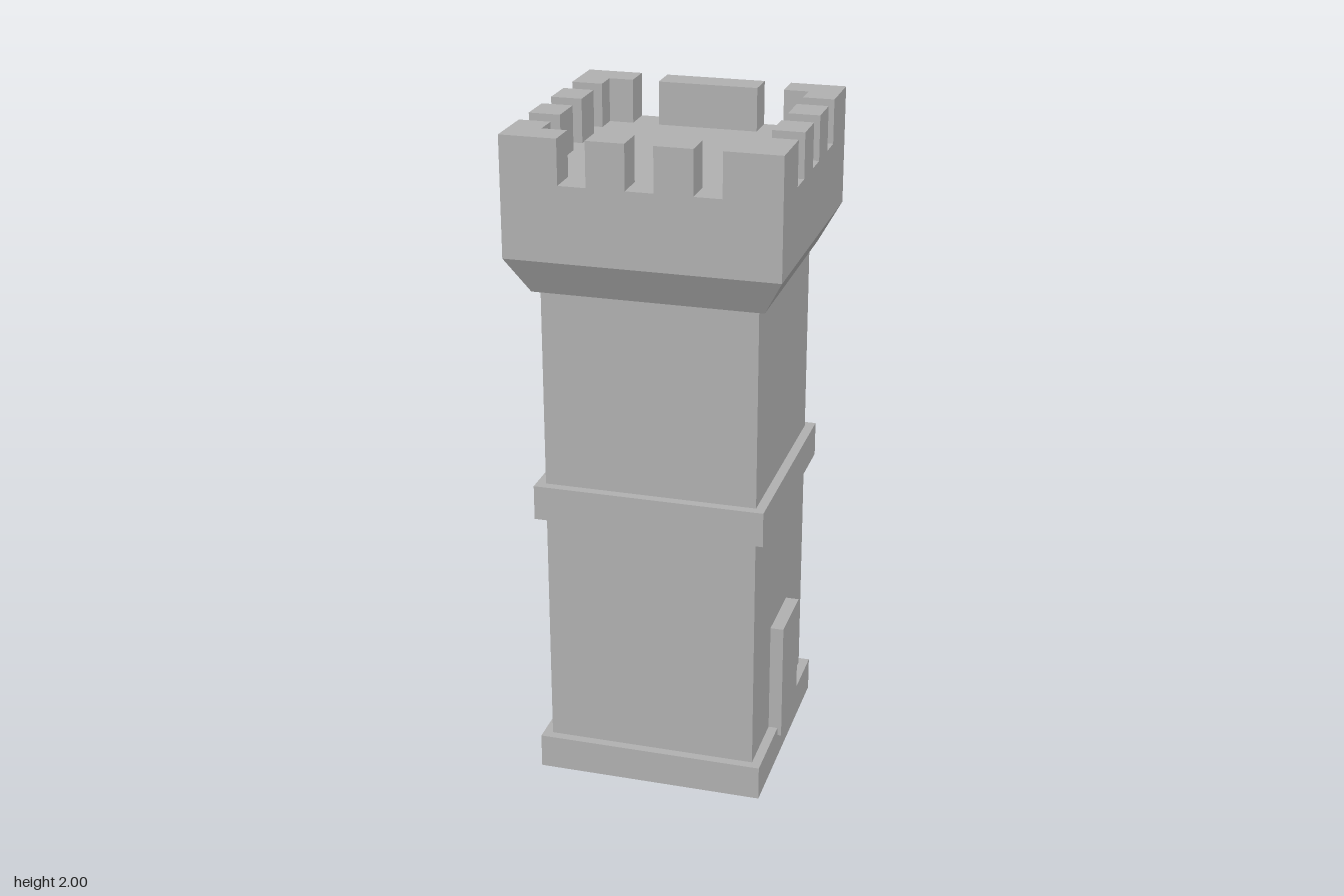
import * as THREE from 'three';

export function createModel() {
  const tower = new THREE.Group();
  tower.name = 'tower';
  const stone = new THREE.MeshStandardMaterial({ color: 0xb0b0b0 });
  stone.name = 'grey stone';

  const add = (name, geometry, parent = tower) => {
    const mesh = new THREE.Mesh(geometry, stone);
    mesh.name = name;
    parent.add(mesh);
    return mesh;
  };
  // Box given by its lower and upper limits on each axis
  const block = (name, x0, x1, y0, y1, z0, z1, parent) =>
    add(name, new THREE.BoxGeometry(x1 - x0, y1 - y0, z1 - z0), parent)
      .position.set((x0 + x1) / 2, (y0 + y1) / 2, (z0 + z1) / 2);
  const squareBlock = (name, half, y0, y1) => block(name, -half, half, y0, y1, -half, half);

  // Shaft with its two stone bands
  squareBlock('shaft', 0.315, 0.105, 1.54);
  squareBlock('plinth', 0.343, 0, 0.105);
  squareBlock('middleBand', 0.343, 0.84, 0.945);

  // Flared corbel: a box whose lower corners are drawn in
  const OUT = 0.395, IN = 0.303, FLOOR = 1.87, TOP = 2;
  const flare = new THREE.BoxGeometry(2 * OUT, 0.11, 2 * OUT);
  const p = flare.attributes.position;
  for (let i = 0; i < p.count; i++) {
    if (p.getY(i) < 0) {
      p.setX(i, Math.sign(p.getX(i)) * 0.335);
      p.setZ(i, Math.sign(p.getZ(i)) * 0.335);
    }
  }
  flare.computeVertexNormals();
  add('corbel', flare).position.y = 1.595;

  // Upper walls and roof platform
  squareBlock('crown', OUT, 1.65, FLOOR);

  // L-shaped corner merlons
  const corner = new THREE.Shape([
    [0.23, -OUT], [OUT, -OUT], [OUT, -0.23], [IN, -0.23], [IN, -IN], [0.23, -IN],
  ].map(([x, y]) => new THREE.Vector2(x, y)));
  const cornerGeometry = new THREE.ExtrudeGeometry(corner, { depth: TOP - FLOOR, bevelEnabled: false });
  cornerGeometry.rotateX(-Math.PI / 2);
  cornerGeometry.translate(0, FLOOR, 0);

  // Battlements: front, left, back, right; the back has one wide merlon
  ['front', 'left', 'back', 'right'].forEach((side, i) => {
    const wall = new THREE.Group();
    wall.name = side + 'Battlement';
    wall.rotation.y = i * Math.PI / 2;
    add('cornerMerlon', cornerGeometry, wall);
    const spans = side === 'back' ? [[-0.15, 0.15]] : [[-0.15, -0.04], [0.04, 0.15]];
    for (const [a, b] of spans) block('merlon', a, b, FLOOR, TOP, IN, OUT, wall);
    tower.add(wall);
  });

  // Door slab on the left side
  block('door', 0.31, 0.355, 0.08, 0.45, -0.103, 0.103);

  return tower;
}
